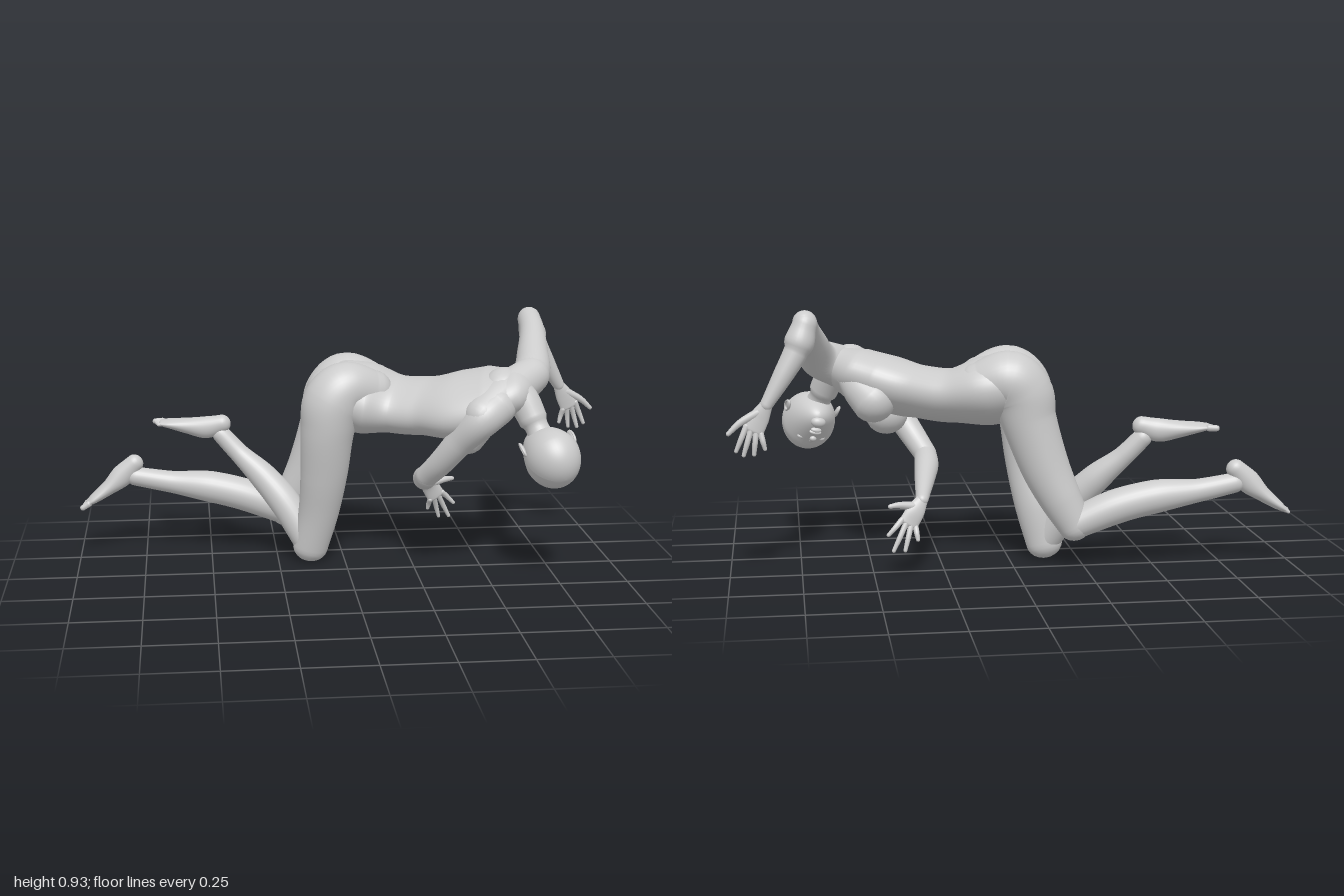
import * as THREE from 'three';

const material = new THREE.MeshStandardMaterial({ color: 0xcccccc, roughness: 0.8 });
const V = (a) => new THREE.Vector3(a[0], a[1], a[2]);

function mesh(name, geometry) {
  const m = new THREE.Mesh(geometry, material);
  m.name = name;
  return m;
}

// Smooth elliptical skin over stations [x, y, z, halfWidth, halfDepth], rounded at both ends.
// The width direction turns from sideA to sideB along the way.
function loft(name, stations, sideA = [0, 0, 1], sideB = sideA, radial = 28) {
  const path = new THREE.CatmullRomCurve3(stations.map(V), false, 'centripetal');
  const sizes = new THREE.CatmullRomCurve3(
    stations.map((s) => new THREE.Vector3(s[3], s[4] ?? s[3], 0)));
  const steps = (stations.length - 1) * 8;
  const rings = [];
  const capSteps = 6;
  const addRing = (t, offset, scale) => {
    const tangent = path.getTangent(t);
    const size = sizes.getPoint(t);
    const centre = path.getPoint(t).addScaledVector(tangent, offset * Math.min(size.x, size.y));
    const side = V(sideA).lerp(V(sideB), t);
    side.addScaledVector(tangent, -side.dot(tangent)).normalize();
    const normal = tangent.clone().cross(side);
    rings.push({ centre, side, normal, w: size.x * scale, d: size.y * scale });
  };
  for (let i = 0; i < capSteps; i++) {
    const a = (1 - i / capSteps) * Math.PI / 2;
    addRing(0, -Math.sin(a), Math.max(Math.cos(a), 0.01));
  }
  for (let i = 0; i <= steps; i++) addRing(i / steps, 0, 1);
  for (let i = 1; i <= capSteps; i++) {
    const a = (i / capSteps) * Math.PI / 2;
    addRing(1, Math.sin(a), Math.max(Math.cos(a), 0.01));
  }
  const pos = [];
  const index = [];
  rings.forEach((r, i) => {
    for (let j = 0; j < radial; j++) {
      const a = (j / radial) * Math.PI * 2;
      const p = r.centre.clone()
        .addScaledVector(r.side, Math.cos(a) * r.w)
        .addScaledVector(r.normal, Math.sin(a) * r.d);
      pos.push(p.x, p.y, p.z);
      if (i === rings.length - 1) continue;
      const k = (j + 1) % radial;
      const [A, B, C, D] = [i * radial + j, i * radial + k, (i + 1) * radial + j, (i + 1) * radial + k];
      index.push(A, B, C, B, D, C);
    }
  });
  const g = new THREE.BufferGeometry();
  g.setAttribute('position', new THREE.Float32BufferAttribute(pos, 3));
  g.setIndex(index);
  g.computeVertexNormals();
  return mesh(name, g);
}

function ellipsoid(name, centre, radii, segments = 16) {
  const m = mesh(name, new THREE.SphereGeometry(1, segments, segments * 0.75));
  m.position.set(...centre);
  m.scale.set(...radii);
  return m;
}

// Palm from three stations, four fingers from the knuckle line, and a spread thumb
function hand(name, palm, side, tips, thumb) {
  const g = new THREE.Group();
  g.name = name;
  g.add(loft('palm', palm, side));
  const s = V(side).normalize();
  const end = V(palm[2]);
  tips.forEach((tip, i) => {
    const k = end.clone().addScaledVector(s, 0.028 - i * 0.0187);
    const mid = k.clone().lerp(V(tip), 0.5);
    mid.z -= 0.004;
    g.add(loft('finger', [[...k.toArray(), 0.0105], [...mid.toArray(), 0.0095], [...tip, 0.007]], side, side, 12));
  });
  const root = V(palm[0]).lerp(V(palm[1]), 0.7).addScaledVector(s, 0.012);
  const joint = root.clone().lerp(V(thumb), 0.55).addScaledVector(s, 0.008);
  g.add(loft('thumb', [[...root.toArray(), 0.016], [...joint.toArray(), 0.012], [...thumb, 0.008]], [0, 0, 1], [0, 0, 1], 12));
  return g;
}

// Foot from heel to ball, then a row of toes with the big toe on the given side
function foot(name, stations, dir, bigToe) {
  const g = new THREE.Group();
  g.name = name;
  g.add(loft('sole', stations));
  const ball = V(stations[stations.length - 1]);
  for (let i = 0; i < 5; i++) {
    const r = i === 0 ? 0.012 : 0.009 - i * 0.0005;
    const a = ball.clone();
    a.z += bigToe * (0.032 - i * 0.0165);
    const b = a.clone().addScaledVector(V(dir), 0.027 - i * 0.003);
    g.add(loft('toe', [[...a.toArray(), r], [...b.toArray(), r * 0.9]], [0, 0, 1], [0, 0, 1], 12));
  }
  return g;
}

// Head in its own frame: y to the crown, z to the face, x to its left
function makeHead() {
  const g = new THREE.Group();
  g.name = 'head';
  const skull = new THREE.SphereGeometry(1, 48, 36);
  const p = skull.attributes.position;
  for (let i = 0; i < p.count; i++) {
    const [x, y, z] = [p.getX(i), p.getY(i), p.getZ(i)];
    const k = Math.max(0, -y);
    p.setXYZ(i, x * 0.099 * (1 - 0.18 * k), y * (y > 0 ? 0.115 : 0.155), z * 0.11 * (1 - 0.22 * k) + 0.045 * k * k);
  }
  skull.computeVertexNormals();
  g.add(mesh('skull', skull));
  g.add(loft('nose', [[0, -0.02, 0.1, 0.006], [0, -0.045, 0.107, 0.008], [0, -0.062, 0.11, 0.013, 0.01]], [1, 0, 0], [1, 0, 0], 14));
  g.add(ellipsoid('upperLip', [0, -0.093, 0.097], [0.023, 0.006, 0.01]));
  g.add(ellipsoid('lowerLip', [0, -0.104, 0.093], [0.02, 0.007, 0.01]));
  g.add(ellipsoid('chin', [0, -0.132, 0.075], [0.028, 0.02, 0.02]));
  for (const s of [-1, 1]) {
    g.add(ellipsoid('eye', [s * 0.036, -0.032, 0.088], [0.017, 0.008, 0.011]));
    const ear = new THREE.Group();
    ear.name = 'ear';
    const rim = mesh('earRim', new THREE.TorusGeometry(0.02, 0.005, 10, 24));
    rim.scale.set(0.75, 1.3, 1);
    ear.add(rim, ellipsoid('earBowl', [0, -0.004, -0.004], [0.014, 0.024, 0.005]));
    ear.position.set(s * 0.096, -0.048, -0.022);
    ear.rotation.y = s * (Math.PI / 2 - 0.3);
    g.add(ear);
  }
  const up = new THREE.Vector3(0.26, -0.55, 0.79).normalize();
  const face = new THREE.Vector3(0.05, -0.83, -0.54);
  face.addScaledVector(up, -face.dot(up)).normalize();
  g.setRotationFromMatrix(new THREE.Matrix4().makeBasis(up.clone().cross(face), up, face));
  g.position.set(0.708, 0.473, 0.245);
  return g;
}

export function createModel() {
  const model = new THREE.Group();
  model.name = 'kneelingFigure';

  // Trunk
  model.add(loft('torso', [
    [-0.05, 0.645, -0.135, 0.14, 0.09], [0, 0.64, -0.14, 0.18, 0.122], [0.08, 0.625, -0.14, 0.187, 0.124],
    [0.2, 0.605, -0.105, 0.155, 0.097], [0.3, 0.61, -0.045, 0.155, 0.096], [0.42, 0.63, 0.03, 0.188, 0.106],
    [0.52, 0.66, 0.07, 0.18, 0.1], [0.59, 0.69, 0.1, 0.12, 0.075],
  ], [-0.2, -0.05, 0.97], [-0.62, -0.38, 0.7], 48));
  model.add(loft('shoulderGirdle', [
    [0.46, 0.62, 0.195, 0.066], [0.56, 0.68, 0.115, 0.075], [0.67, 0.73, 0.03, 0.068],
  ], [0, 1, 0]));
  model.add(loft('leftBreast', [[0.57, 0.67, -0.03, 0.045], [0.53, 0.63, -0.055, 0.066], [0.485, 0.59, -0.08, 0.08]]));
  model.add(loft('rightBreast', [[0.5, 0.6, 0.1, 0.045], [0.47, 0.565, 0.075, 0.066], [0.43, 0.525, 0.05, 0.08]]));
  model.add(loft('neck', [
    [0.55, 0.7, 0.1, 0.085, 0.07], [0.615, 0.665, 0.13, 0.06], [0.655, 0.59, 0.165, 0.052], [0.685, 0.52, 0.2, 0.052],
  ], [-0.6, -0.4, 0.6]));
  model.add(makeHead());

  // Arms
  model.add(loft('leftUpperArm', [
    [0.6, 0.69, 0.07, 0.072], [0.67, 0.73, 0.02, 0.069], [0.7, 0.8, -0.09, 0.056], [0.72, 0.86, -0.2, 0.046], [0.725, 0.893, -0.283, 0.042],
  ]));
  model.add(loft('leftForearm', [
    [0.725, 0.888, -0.288, 0.042], [0.755, 0.8, -0.3, 0.042], [0.8, 0.72, -0.314, 0.035], [0.86, 0.62, -0.329, 0.022],
  ], [1, 0, 0]));
  model.add(loft('rightUpperArm', [
    [0.52, 0.645, 0.165, 0.07], [0.46, 0.605, 0.2, 0.066], [0.39, 0.52, 0.165, 0.052], [0.33, 0.43, 0.11, 0.046], [0.287, 0.365, 0.05, 0.041],
  ]));
  model.add(loft('rightForearm', [
    [0.287, 0.362, 0.048, 0.041], [0.29, 0.34, -0.02, 0.044], [0.305, 0.31, -0.12, 0.037], [0.33, 0.265, -0.28, 0.022],
  ], [1, 0, 0]));
  model.add(hand('leftHand',
    [[0.86, 0.62, -0.329, 0.022, 0.018], [0.885, 0.575, -0.331, 0.034, 0.015], [0.905, 0.535, -0.334, 0.036, 0.012]], [0.86, 0.5, 0],
    [[0.965, 0.465, -0.34], [0.94, 0.45, -0.34], [0.905, 0.452, -0.34], [0.868, 0.47, -0.34]], [0.99, 0.525, -0.34]));
  model.add(hand('rightHand',
    [[0.33, 0.265, -0.28, 0.022, 0.018], [0.355, 0.23, -0.303, 0.034, 0.016], [0.38, 0.19, -0.315, 0.036, 0.012]], [0.83, 0.5, -0.1],
    [[0.452, 0.155, -0.335], [0.435, 0.1, -0.342], [0.395, 0.1, -0.342], [0.35, 0.135, -0.335]], [0.445, 0.255, -0.33]));

  // Legs, each thigh starting as the buttock
  model.add(loft('rightThigh', [
    [0.1, 0.655, -0.075, 0.075, 0.085], [-0.005, 0.672, -0.052, 0.1, 0.105], [-0.05, 0.625, -0.047, 0.106, 0.112], [-0.07, 0.53, -0.048, 0.1, 0.1],
    [-0.082, 0.36, -0.066, 0.081, 0.088], [-0.1, 0.2, -0.1, 0.072, 0.076], [-0.13, 0.058, -0.12, 0.057, 0.066],
  ], [0, 0, 1], [0, 0, 1], 40));
  model.add(loft('leftThigh', [
    [0.12, 0.65, -0.22, 0.08, 0.088], [0.015, 0.672, -0.235, 0.104, 0.107], [-0.03, 0.625, -0.234, 0.104, 0.11], [-0.055, 0.53, -0.238, 0.094, 0.098],
    [-0.113, 0.36, -0.25, 0.08, 0.086], [-0.165, 0.25, -0.262, 0.07, 0.075], [-0.215, 0.155, -0.275, 0.055, 0.06],
  ], [0, 0, 1], [0, 0, 1], 40));
  model.add(loft('rightShin', [
    [-0.135, 0.07, -0.12, 0.054], [-0.22, 0.215, -0.17, 0.058], [-0.3, 0.31, -0.215, 0.052], [-0.39, 0.395, -0.255, 0.037], [-0.455, 0.465, -0.275, 0.034],
  ]));
  model.add(loft('leftShin', [
    [-0.215, 0.16, -0.275, 0.055], [-0.36, 0.22, -0.285, 0.062], [-0.5, 0.255, -0.297, 0.06], [-0.65, 0.275, -0.31, 0.042], [-0.785, 0.3, -0.312, 0.036],
  ]));
  model.add(foot('rightFoot', [
    [-0.452, 0.508, -0.273, 0.032, 0.034], [-0.51, 0.493, -0.282, 0.035, 0.042], [-0.58, 0.497, -0.298, 0.04, 0.031], [-0.65, 0.505, -0.312, 0.046, 0.018], [-0.678, 0.507, -0.316, 0.042, 0.012],
  ], [-1, -0.05, -0.1], -1));
  model.add(foot('leftFoot', [
    [-0.788, 0.352, -0.312, 0.032, 0.034], [-0.835, 0.305, -0.312, 0.035, 0.042], [-0.89, 0.257, -0.312, 0.04, 0.028], [-0.945, 0.217, -0.312, 0.046, 0.018], [-0.965, 0.203, -0.312, 0.042, 0.012],
  ], [-0.84, -0.54, 0], 1));
  return model;
}
